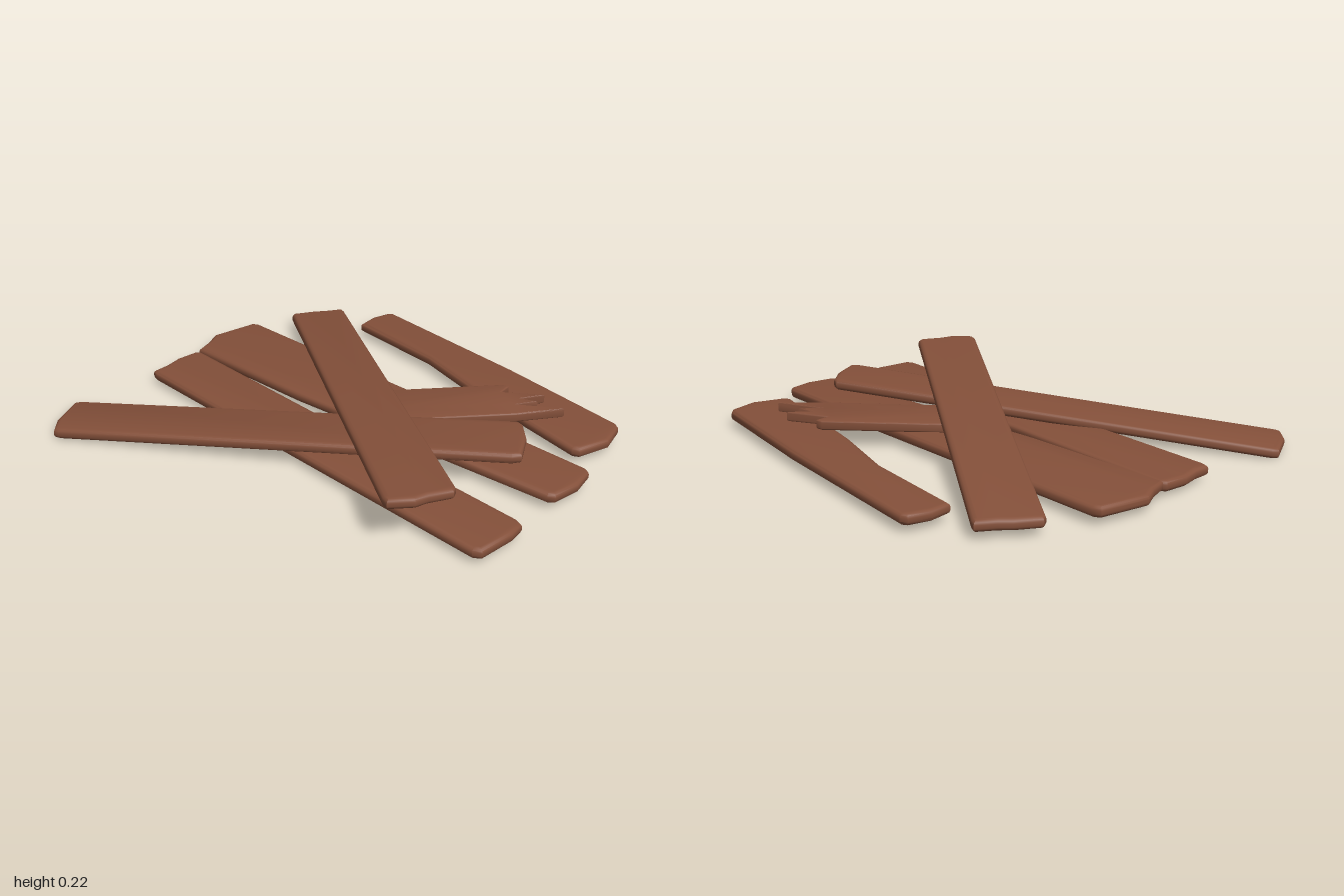
import * as THREE from 'three';
import { toCreasedNormals } from 'three/addons/utils/BufferGeometryUtils.js';

const wood = new THREE.MeshStandardMaterial({ color: 0x84503a });
wood.name = 'brownWood';

// Plank cut from an (x, z) outline, with rounded edges, tilted from a start point to an end point [x, y, z]
function plank(name, outline, start, end, thickness = 0.046, bevel = 0.02) {
  const shape = new THREE.Shape(outline.map(([x, z]) => new THREE.Vector2(x, -z)));
  const lip = Math.min(bevel, 0.016);
  const geo = new THREE.ExtrudeGeometry(shape, {
    depth: thickness - 2 * lip,
    bevelEnabled: true, bevelSize: bevel, bevelOffset: -bevel, bevelThickness: lip, bevelSegments: 3,
  });
  geo.rotateX(-Math.PI / 2);
  geo.translate(0, lip - thickness / 2, 0);

  // Raise each vertex by how far it lies along the plank
  const dx = end[0] - start[0], dz = end[2] - start[2];
  const pos = geo.attributes.position;
  for (let i = 0; i < pos.count; i++) {
    const t = ((pos.getX(i) - start[0]) * dx + (pos.getZ(i) - start[2]) * dz) / (dx * dx + dz * dz);
    pos.setY(i, pos.getY(i) + THREE.MathUtils.lerp(start[1], end[1], t));
  }
  const mesh = new THREE.Mesh(toCreasedNormals(geo, 0.7), wood);
  mesh.name = name;
  return mesh;
}

export function createModel() {
  const group = new THREE.Group();
  group.name = 'plankPile';

  group.add(
    // Three planks flat on the ground
    plank('groundPlankRight', [
      [-0.29, -0.94], [-0.22, -0.94], [-0.14, -0.955], [-0.04, -0.945], [-0.02, -0.92],
      [-0.145, 0.95], [-0.16, 0.985], [-0.23, 0.995], [-0.39, 0.98], [-0.41, 0.95], [-0.3, -0.91],
    ], [-0.16, 0.047, -0.95], [-0.28, 0.047, 0.99]),
    plank('groundPlankMiddle', [
      [-0.02, -0.94], [0.06, -0.965], [0.13, -1], [0.34, -0.96], [0.355, -0.93], [0.33, 0.3],
      [0.31, 0.95], [0.295, 0.975], [0.19, 0.995], [0.07, 0.975], [0.05, 0.95], [-0.02, -0.3],
    ], [0.16, 0.056, -1], [0.18, 0.056, 1]),
    plank('groundPlankLeft', [
      [0.69, -0.57], [0.78, -0.58], [0.87, -0.555], [0.885, -0.53], [0.79, 0.25], [0.69, 0.85],
      [0.67, 0.875], [0.55, 0.905], [0.41, 0.86], [0.395, 0.83], [0.53, 0.23], [0.63, -0.1],
    ], [0.78, 0.056, -0.58], [0.55, 0.056, 0.9]),

    // Snapped board with a splintered end
    plank('brokenPlank', [
      [0.2, 0.0], [0.57, 0.355], [0.575, 0.385], [0.515, 0.39], [0.61, 0.545], [0.52, 0.485],
      [0.545, 0.555], [0.465, 0.5], [0.565, 0.675], [0.4, 0.55], [0.05, 0.21], [0.08, 0.1],
    ], [0.1, 0.095, 0.1], [0.58, 0.108, 0.53], 0.04, 0.007),

    // Two long planks crossing on top
    plank('lowerLeaningPlank', [
      [-0.89, -0.86], [-0.83, -0.92], [-0.69, -0.99], [-0.665, -0.975],
      [0.285, 0.64], [0.275, 0.67], [0.2, 0.74], [0.08, 0.805], [0.05, 0.78], [-0.885, -0.835],
    ], [-0.77, 0.029, -0.92], [0.17, 0.158, 0.73]),
    plank('upperLeaningPlank', [
      [0.55, -0.89], [0.64, -0.835], [0.68, -0.8], [0.75, -0.755], [0.74, -0.73],
      [-0.32, 0.8], [-0.345, 0.81], [-0.43, 0.765], [-0.485, 0.75], [-0.56, 0.68], [-0.55, 0.65], [0.53, -0.88],
    ], [0.65, 0.058, -0.83], [-0.45, 0.205, 0.75]),
  );
  return group;
}
